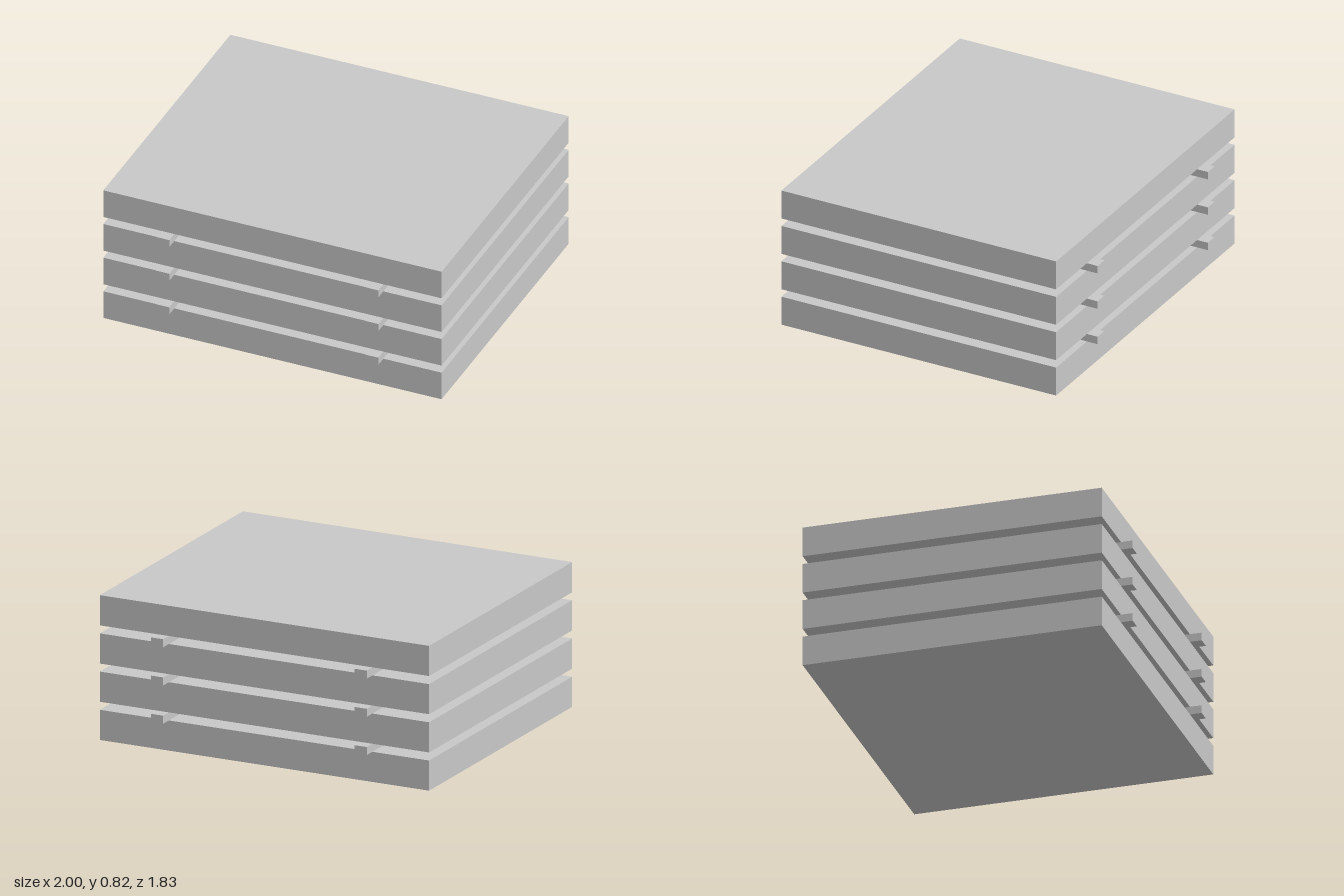
import * as THREE from 'three';

export function createModel() {
  const model = new THREE.Group();
  model.name = 'stackedSlabs';
  const grey = new THREE.MeshStandardMaterial({ color: 0xc8c8c8 });
  grey.name = 'light grey';

  const slabHeight = 0.171;
  const gap = 0.0455;
  const slabGeometry = new THREE.BoxGeometry(2, slabHeight, 1.695);
  const battenGeometry = new THREE.BoxGeometry(0.075, gap, 1.828);

  const add = (name, geometry, x, y) => {
    const mesh = new THREE.Mesh(geometry, grey);
    mesh.name = name;
    mesh.position.set(x, y, 0);
    model.add(mesh);
  };

  for (let i = 0; i < 4; i++) {
    const base = i * (slabHeight + gap);
    add(`slab${i + 1}`, slabGeometry, 0, base + slabHeight / 2);
    // Pair of spacer battens carrying the next slab
    if (i < 3) {
      const y = base + slabHeight + gap / 2;
      add(`leftBatten${i + 1}`, battenGeometry, 0.618, y);
      add(`rightBatten${i + 1}`, battenGeometry, -0.618, y);
    }
  }
  return model;
}
